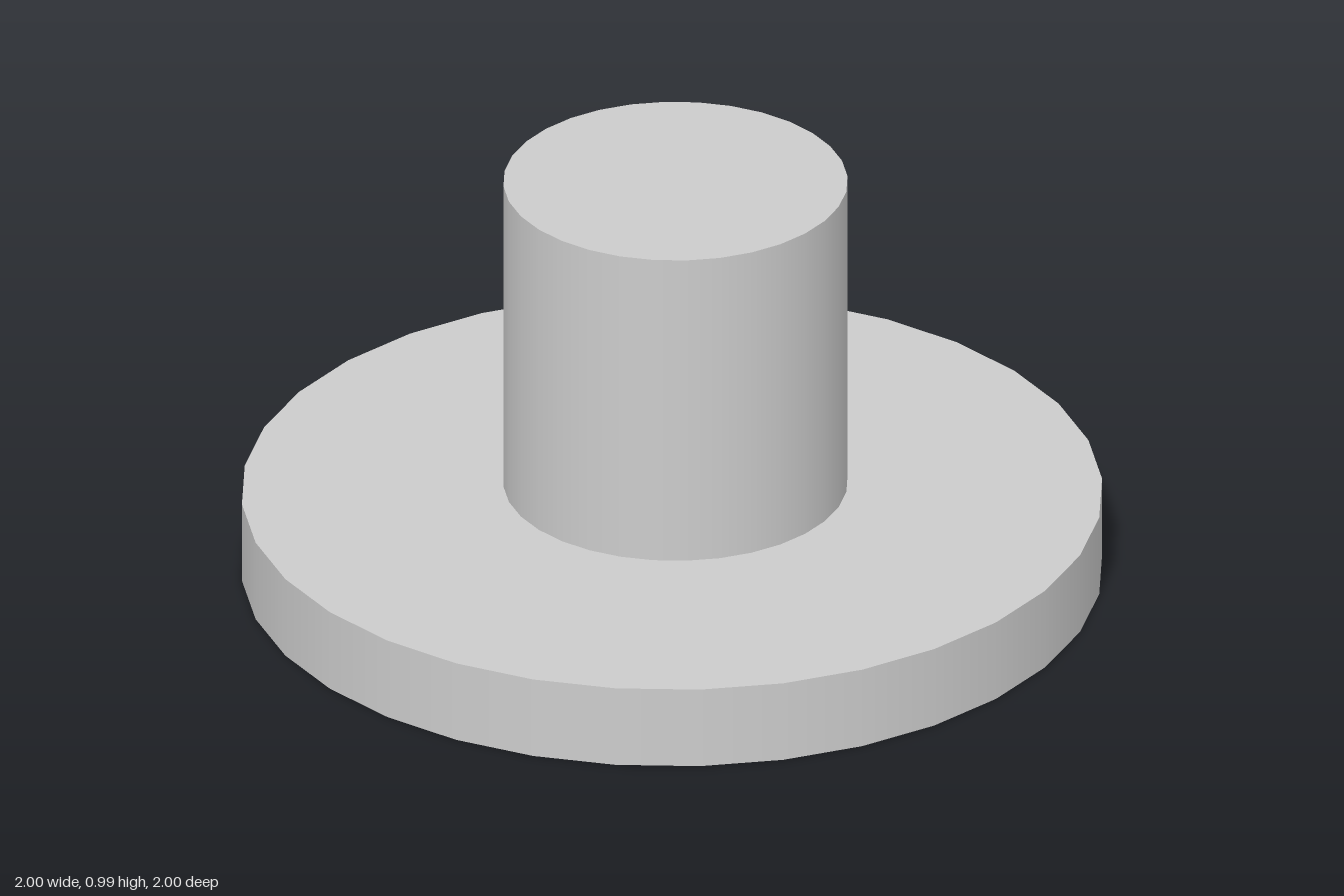
import * as THREE from 'three';

export function createModel() {
  const group = new THREE.Group();
  const material = new THREE.MeshStandardMaterial({ color: 0xcccccc });

  // Upright cylinder spanning bottom..top, centred on (x, z)
  function addCylinder(name, radius, bottom, top, x, z) {
    const geometry = new THREE.CylinderGeometry(radius, radius, top - bottom, 32);
    const mesh = new THREE.Mesh(geometry, material);
    mesh.name = name;
    mesh.position.set(x, (bottom + top) / 2, z);
    group.add(mesh);
  }

  // Wide flat base
  addCylinder('baseDisc', 1, 0, 0.2, 0, 0);
  // Slightly off-centre post standing on the base
  addCylinder('post', 0.4, 0.2, 0.985, 0.037, -0.035);

  return group;
}
